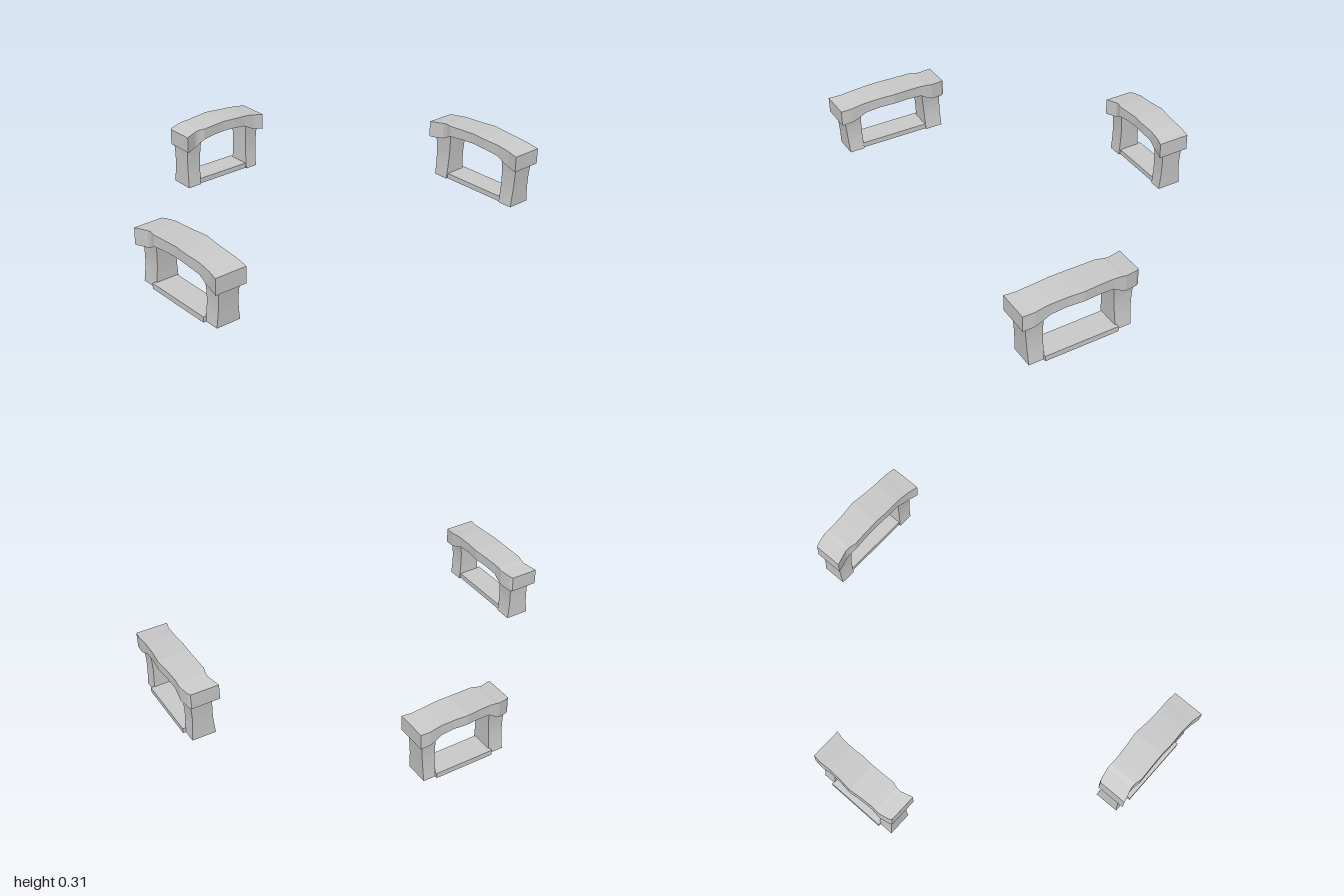
import * as THREE from 'three';

const material = new THREE.MeshStandardMaterial({ color: 0xcccccc, flatShading: true });

// Skin a row of four-cornered rings (counter-clockwise seen from the far end) and cap both ends
function loft(rings) {
  const pos = rings.flat(2);
  const index = [];
  const n = rings.length;
  for (let i = 0; i < n - 1; i++) {
    for (let j = 0; j < 4; j++) {
      const a = i * 4 + j, b = i * 4 + (j + 1) % 4;
      index.push(a, b, b + 4, a, b + 4, a + 4);
    }
  }
  const e = (n - 1) * 4;
  index.push(0, 2, 1, 0, 3, 2, e, e + 1, e + 2, e, e + 2, e + 3);
  const geo = new THREE.BufferGeometry();
  geo.setAttribute('position', new THREE.Float32BufferAttribute(pos, 3));
  geo.setIndex(index);
  const flat = geo.toNonIndexed();
  flat.computeVertexNormals();
  return flat;
}

function part(name, geometry) {
  const mesh = new THREE.Mesh(geometry, material);
  mesh.name = name;
  return mesh;
}

// Worn, arched lintel: x, underside, top, back z, front z
const LINTEL = [
  [-0.290, 0.212, 0.293, -0.058, 0.087],
  [-0.275, 0.211, 0.295, -0.066, 0.083],
  [-0.215, 0.218, 0.301, -0.078, 0.067],
  [-0.190, 0.230, 0.305, -0.077, 0.068],
  [-0.155, 0.251, 0.307, -0.076, 0.077],
  [-0.080, 0.258, 0.310, -0.080, 0.074],
  [0.000, 0.261, 0.313, -0.088, 0.072],
  [0.080, 0.259, 0.310, -0.080, 0.075],
  [0.160, 0.250, 0.306, -0.077, 0.072],
  [0.200, 0.230, 0.302, -0.078, 0.074],
  [0.235, 0.219, 0.297, -0.079, 0.076],
  [0.290, 0.212, 0.292, -0.073, 0.087],
];

function lintelGeometry() {
  return loft(LINTEL.map(([x, y0, y1, z0, z1]) =>
    [[x, y0, z0], [x, y1, z0], [x, y1, z1], [x, y0, z1]]));
}

// Post that is waisted front to back and leans between its foot and its head
function postGeometry(foot, head, base) {
  const levels = 6, top = 0.262;
  const rings = [];
  for (let i = 0; i <= levels; i++) {
    const t = i / levels;
    const y = base + (top - base) * t;
    const pinch = Math.sin(Math.PI * t);
    const x0 = THREE.MathUtils.lerp(foot[0], head[0], t) + 0.003 * pinch;
    const x1 = THREE.MathUtils.lerp(foot[1], head[1], t) - 0.003 * pinch;
    const z0 = -0.061 + 0.010 * pinch, z1 = 0.061 - 0.008 * pinch;
    rings.push([[x1, y, z1], [x1, y, z0], [x0, y, z0], [x0, y, z1]]);
  }
  return loft(rings);
}

// Low sill between the posts, standing proud of the outer face
function sillGeometry(base, outward) {
  const geo = new THREE.BoxGeometry(0.37, 0.027, 0.127);
  geo.translate(-0.002, base + 0.0135, outward * 0.0115);
  return geo;
}

function windowFrame(name, { base = 0, outward = -1, leftFoot = [-0.27, -0.18] }) {
  const frame = new THREE.Group();
  frame.name = name;
  frame.add(
    part('lintel', lintelGeometry()),
    part('rightPost', postGeometry(leftFoot, [-0.272, -0.165], base)),
    part('leftPost', postGeometry([0.178, 0.256], [0.178, 0.274], base)),
    part('sill', sillGeometry(base, outward)),
  );
  return frame;
}

export function createModel() {
  const model = new THREE.Group();
  model.name = 'stoneWindowFrames';

  const front = windowFrame('frontWindow', { base: 0.03, outward: 1 });
  front.position.set(0.4, 0, 0.911);

  const back = windowFrame('backWindow', { leftFoot: [-0.26, -0.18] });
  back.position.set(0.4, 0, -0.912);

  // Shorter frame, turned to face sideways
  const side = windowFrame('sideWindow', {});
  side.scale.x = 0.83;
  side.rotation.y = Math.PI / 2;
  side.position.set(-0.61, 0, 0.01);

  model.add(front, back, side);
  return model;
}
